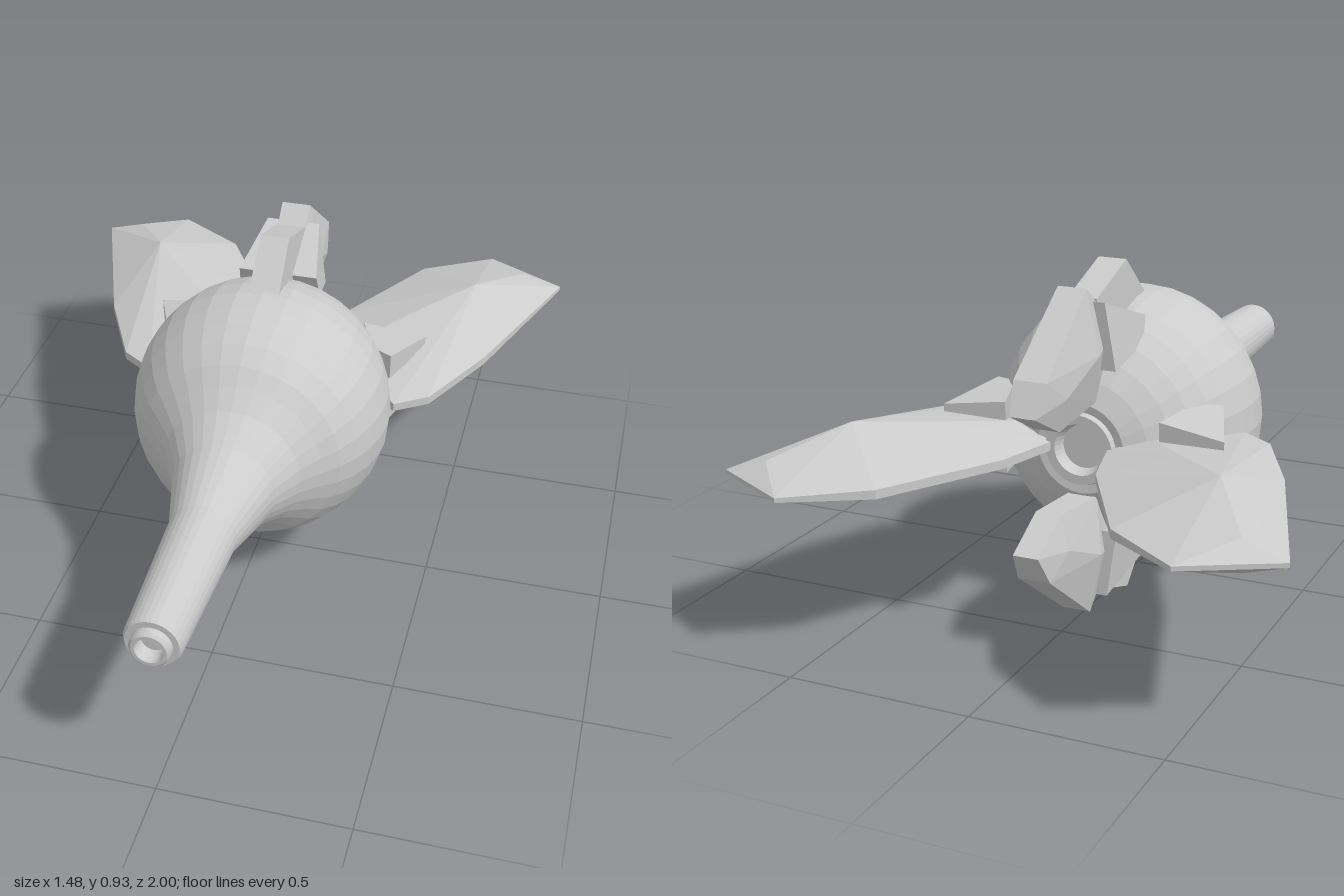
import * as THREE from 'three';
import { ConvexGeometry } from 'three/addons/geometries/ConvexGeometry.js';

const AXIS_Y = 0.467;

export function createModel() {
  const model = new THREE.Group();
  const material = new THREE.MeshStandardMaterial({ color: 0xcccccc, flatShading: true });

  const add = (parent, name, geometry) => {
    const mesh = new THREE.Mesh(geometry, material);
    mesh.name = name;
    parent.add(mesh);
    return mesh;
  };

  // Faceted solid from [radius, half thickness, z] points, mirrored across its mid plane
  const mirroredHull = (points) => new ConvexGeometry(points.flatMap(([r, t, z]) =>
    t === 0
      ? [new THREE.Vector3(r, 0, z)]
      : [new THREE.Vector3(r, t, z), new THREE.Vector3(r, -t, z)]));

  // Body: rear nozzle, bulb, long neck and bored tip in one turned profile [radius, z]
  const profile = [[0, -0.35], [0.06, -0.35], [0.07, -0.385], [0.095, -0.385], [0.1, -0.37]];
  for (let i = 2; i <= 13; i++) {
    const a = i * Math.PI / 18;
    profile.push([0.36 * Math.sin(a), -0.035 - 0.36 * Math.cos(a)]);
  }
  profile.push([0.235, 0.235], [0.19, 0.285], [0.14, 0.37], [0.09, 0.56], [0.074, 0.965],
    [0.068, 0.975], [0.052, 0.975], [0.052, 0.993], [0.045, 1], [0.036, 1], [0.032, 0.96], [0, 0.96]);
  const body = add(model, 'body', new THREE.LatheGeometry(
    profile.map(([r, z]) => new THREE.Vector2(r, z)), 32));
  body.rotation.x = Math.PI / 2;
  body.position.y = AXIS_Y;

  // Broad swept wing with a raised centre ridge
  const wing = mirroredHull([
    [0.08, 0.012, -0.38], [0.13, 0.012, -0.56], [0.31, 0.012, -0.87], [0.51, 0.006, -1],
    [0.74, 0.006, -0.88], [0.57, 0.012, -0.41], [0.45, 0.012, -0.17], [0.36, 0.012, -0.11],
    [0.2, 0.045, -0.35], [0.33, 0.07, -0.5], [0.5, 0.1, -0.67], [0.625, 0.042, -0.87],
  ]);

  // Narrow bevelled tail fin and the wedge in front of it
  const fin = mirroredHull([
    [0.44, 0.04, -0.41], [0.26, 0.045, -0.65], [0.18, 0.035, -0.695], [0.11, 0.035, -0.565],
    [0.13, 0.04, -0.36], [0.3, 0.04, -0.25], [0.27, 0.075, -0.41], [0.2, 0.06, -0.57],
  ]);
  const wedge = mirroredHull([
    [0.25, 0.042, -0.05], [0.355, 0.042, -0.05], [0.465, 0.04, -0.165],
    [0.4, 0.04, -0.35], [0.25, 0.042, -0.36],
  ]);

  // Bracket gripping one face of a wing or fin
  const bracketPoints = [];
  for (const [r, inner, outer, z] of [
    [0.26, 0.03, 0.115, -0.23], [0.33, 0.035, 0.11, -0.2], [0.4, 0.04, 0.075, -0.38],
    [0.22, 0.03, 0.1, -0.37],
  ]) {
    bracketPoints.push(new THREE.Vector3(r, inner, z), new THREE.Vector3(r, outer, z));
  }
  const bracket = new ConvexGeometry(bracketPoints);
  const bracketMirrored = new ConvexGeometry(
    bracketPoints.map((p) => new THREE.Vector3(p.x, -p.y, p.z)));

  // Four assemblies around the axis: wings at the sides, fins above and below
  ['leftWing', 'topFin', 'rightWing', 'bottomFin'].forEach((name, i) => {
    const assembly = new THREE.Group();
    assembly.name = name + 'Assembly';
    assembly.position.y = AXIS_Y;
    assembly.rotation.z = i * Math.PI / 2;
    if (i % 2 === 0) {
      add(assembly, name, wing);
    } else {
      add(assembly, name, fin);
      add(assembly, name + 'Wedge', wedge);
    }
    add(assembly, name + 'BracketA', bracket);
    add(assembly, name + 'BracketB', bracketMirrored);
    model.add(assembly);
  });

  return model;
}
